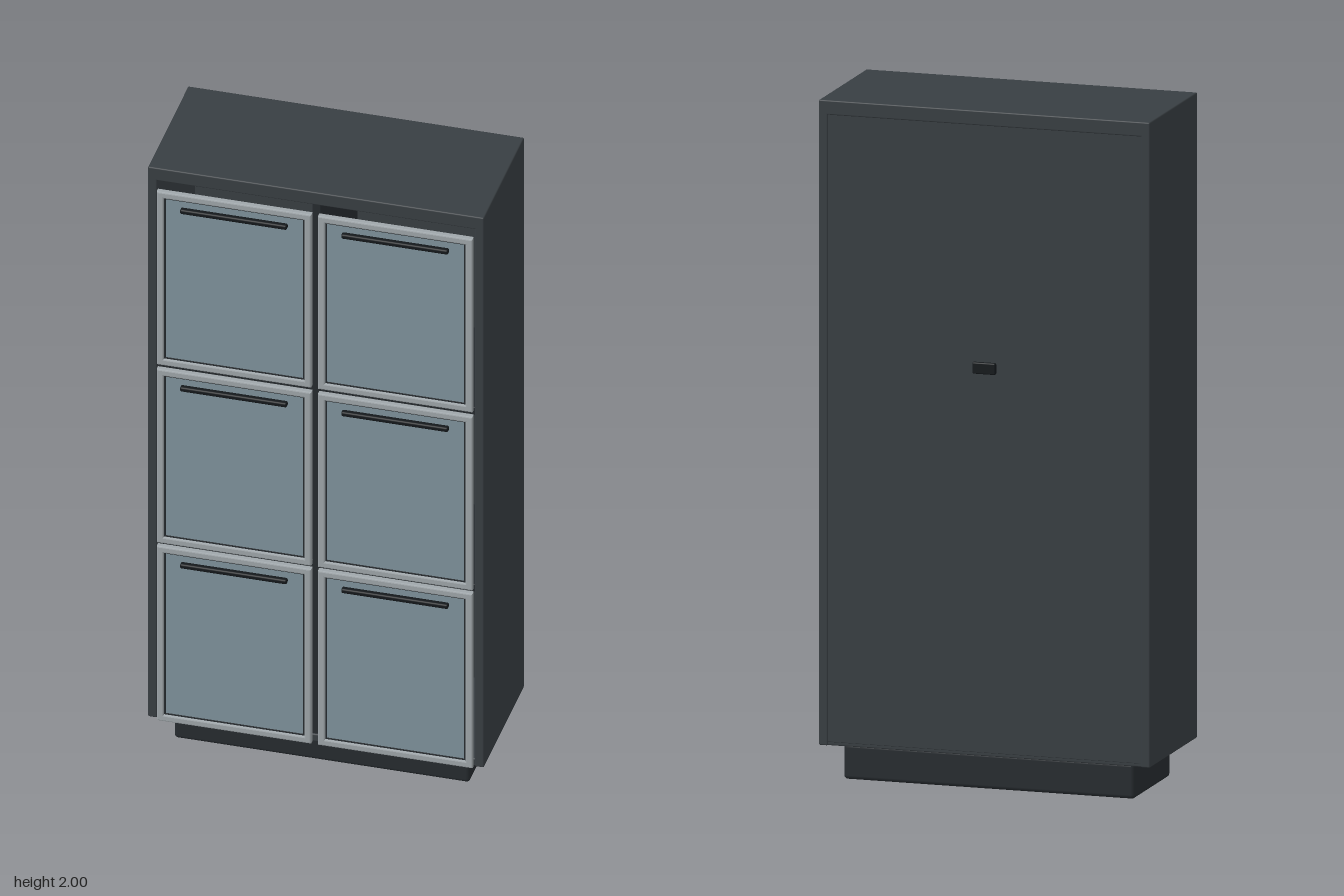
import * as THREE from 'three';
import { RoundedBoxGeometry } from 'three/addons/geometries/RoundedBoxGeometry.js';

const mat = (color) => new THREE.MeshStandardMaterial({ color });

// Rounded box given by its min and max on each axis
function block(name, [x0, x1], [y0, y1], [z0, z1], material, radius = 0.004) {
  const geo = new RoundedBoxGeometry(x1 - x0, y1 - y0, z1 - z0, 2, radius);
  const mesh = new THREE.Mesh(geo, material);
  mesh.name = name;
  mesh.position.set((x0 + x1) / 2, (y0 + y1) / 2, (z0 + z1) / 2);
  return mesh;
}

// Rectangular ring in the xy plane, outer size w x h, with a soft bevel
function ring(name, w, h, border, depth, z, material, bevel) {
  const rect = (target, a, b) => {
    target.moveTo(-a, -b).lineTo(a, -b).lineTo(a, b).lineTo(-a, b).closePath();
    return target;
  };
  const shape = rect(new THREE.Shape(), w / 2 - bevel, h / 2 - bevel);
  shape.holes.push(rect(new THREE.Path(), w / 2 - border + bevel, h / 2 - border + bevel));
  const geo = new THREE.ExtrudeGeometry(shape, {
    depth: depth - 2 * bevel, bevelEnabled: true, bevelSize: bevel, bevelThickness: bevel, bevelSegments: 2,
  });
  const mesh = new THREE.Mesh(geo, material);
  mesh.name = name;
  mesh.position.z = z + bevel;
  return mesh;
}

export function createModel() {
  const model = new THREE.Group();
  model.name = 'cabinet';
  const body = mat(0x383e42);
  const dark = mat(0x262b2f);
  const black = mat(0x14181b);
  const metal = mat(0x9fa6aa);
  const glass = mat(0x7f939c);

  // Plinth
  model.add(block('plinth', [-0.44, 0.44], [0, 0.106], [-0.185, 0.145], dark, 0.012));

  // Carcass
  const carcass = new THREE.Group();
  carcass.name = 'carcass';
  const depth = [-0.227, 0.208];
  carcass.add(block('topPanel', [-0.5, 0.5], [1.957, 2], depth, body));
  for (const [name, s] of [['leftSide', 1], ['rightSide', -1]]) {
    const x = [0.473 * s, 0.5 * s].sort((a, b) => a - b);
    carcass.add(block(name, x, [0.105, 1.98], depth, body));
  }
  carcass.add(block('bottomPanel', [-0.48, 0.48], [0.105, 0.13], [-0.222, 0.205], body));
  carcass.add(block('backPanel', [-0.476, 0.476], [0.115, 1.96], [-0.223, -0.2], body, 0.002));
  carcass.add(block('divider', [-0.012, 0.012], [0.12, 1.96], [-0.205, 0.2], dark, 0.002));
  for (const y of [0.715, 1.325]) {
    carcass.add(block('shelf', [-0.476, 0.476], [y - 0.012, y + 0.012], [-0.205, 0.2], dark, 0.002));
  }
  model.add(carcass);

  // Lock plate on the back
  model.add(block('backPlate', [-0.035, 0.035], [1.228, 1.262], [-0.233, -0.215], black, 0.004));

  // Six framed doors, each with a handle bar
  const w = 0.46;
  for (const [y0, y1] of [[0.107, 0.708], [0.72, 1.318], [1.334, 1.93]]) {
    for (const x of [-0.24, 0.24]) {
      const h = y1 - y0;
      const door = new THREE.Group();
      door.name = 'door';
      door.position.set(x, (y0 + y1) / 2, 0);
      door.add(ring('doorFrame', w, h, 0.021, 0.02, 0.204, metal, 0.004));
      door.add(ring('gasket', w - 0.038, h - 0.038, 0.007, 0.012, 0.205, dark, 0.001));
      door.add(block('glassPane', [-w / 2 + 0.015, w / 2 - 0.015], [-h / 2 + 0.015, h / 2 - 0.015], [0.205, 0.216], glass, 0.002));
      door.add(block('handle', [-0.159, 0.159], [h / 2 - 0.061, h / 2 - 0.046], [0.212, 0.231], black, 0.005));
      model.add(door);
    }
  }
  return model;
}
